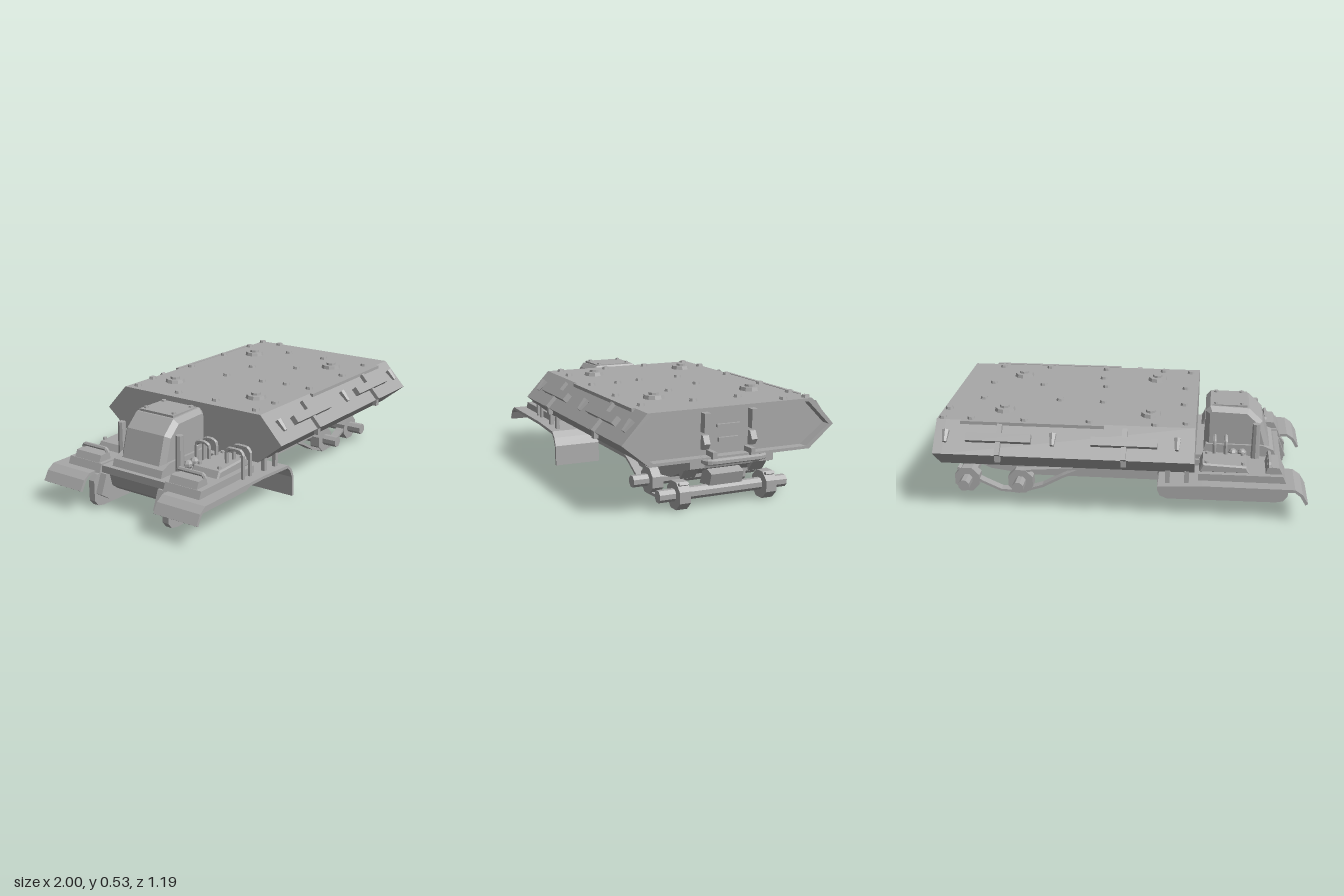
import * as THREE from 'three';

const steel = new THREE.MeshStandardMaterial({ color: 0xa8a8a8, flatShading: true });
steel.name = 'steel grey';

export function createModel() {
  const root = new THREE.Group();
  root.name = 'armouredCarrier';

  const add = (name, geo, x = 0, y = 0, z = 0, parent = root) => {
    const m = new THREE.Mesh(geo, steel);
    m.name = name;
    m.position.set(x, y, z);
    parent.add(m);
    return m;
  };
  // Box given by its extents
  const box = (name, x0, x1, y0, y1, z0, z1) =>
    add(name, new THREE.BoxGeometry(x1 - x0, y1 - y0, z1 - z0), (x0 + x1) / 2, (y0 + y1) / 2, (z0 + z1) / 2);
  const shapeOf = (pts) => new THREE.Shape(pts.map((p) => new THREE.Vector2(...p)));
  const extrude = (shape, depth, bevel = 0) => new THREE.ExtrudeGeometry(shape, {
    depth: depth - 2 * bevel, bevelEnabled: bevel > 0, bevelSize: bevel, bevelOffset: -bevel,
    bevelThickness: bevel, bevelSegments: 1, curveSegments: 5,
  }).translate(0, 0, bevel);
  // Prism along z from an (x, y) profile
  const prismZ = (name, pts, z0, z1, bevel = 0) => add(name, extrude(shapeOf(pts), z1 - z0, bevel), 0, 0, z0);
  // Prism along x from a symmetric (z, y) profile
  const prismX = (name, shape, x0, x1) => add(name, extrude(shape, x1 - x0).rotateY(Math.PI / 2), x0);
  const rodZ = (name, r, x, y, z0, z1, n = 8) =>
    add(name, new THREE.CylinderGeometry(r, r, z1 - z0, n).rotateY(Math.PI / n).rotateX(Math.PI / 2), x, y, (z0 + z1) / 2);
  const pipe = (name, pts, r) => {
    const path = new THREE.CurvePath();
    const v = pts.map((p) => new THREE.Vector3(...p));
    for (let i = 1; i < v.length; i++) path.add(new THREE.LineCurve3(v[i - 1], v[i]));
    return add(name, new THREE.TubeGeometry(path, 24, r, 6, false));
  };
  // Sheet-metal strip: a polyline thickened along its averaged normals
  const strip = (name, pts, t, z0, z1) => {
    const off = pts.map((p, i) => {
      const a = pts[Math.max(0, i - 1)], b = pts[Math.min(pts.length - 1, i + 1)];
      const l = Math.hypot(b[0] - a[0], b[1] - a[1]);
      return [p[0] + ((b[1] - a[1]) / l) * t, p[1] - ((b[0] - a[0]) / l) * t];
    });
    return prismZ(name, [...pts, ...off.reverse()], z0, z1);
  };

  // Large hexagonal cargo body with a recessed rear panel
  const hex = [[-0.45, 0.51], [-0.58, 0.37], [-0.44, 0.255], [0.44, 0.255], [0.58, 0.37], [0.45, 0.51]];
  prismX('cargoBody', shapeOf(hex), -0.41, 0.89);
  const rim = shapeOf(hex);
  rim.holes.push(new THREE.Path(hex.map(([z, y]) =>
    new THREE.Vector2(z * 0.955, 0.375 + (y - 0.375) * 0.88)).reverse()));
  prismX('rearRim', rim, 0.89, 0.94);

  // Roof bolts and hatches
  const bolts = [[-0.36, -0.4], [-0.2, -0.43], [0.14, -0.42], [0.48, -0.43], [0.76, -0.43], [0.91, -0.43],
    [0.91, -0.3], [-0.34, -0.13], [0.1, -0.13], [0.34, -0.12], [0.76, -0.13], [-0.34, 0.12], [0.11, 0.11],
    [0.47, 0.11], [0.76, 0.12], [0.14, 0.25], [0.14, 0.4], [-0.36, 0.39], [-0.2, 0.4], [0.48, 0.41], [0.76, 0.4]];
  for (const [x, z] of bolts) add('roofBolt', new THREE.CylinderGeometry(0.018, 0.022, 0.016, 7), x, 0.516, z);
  for (const x of [-0.17, 0.61]) for (const z of [-0.29, 0.26]) {
    add('roofHatch', new THREE.CylinderGeometry(0.05, 0.056, 0.02, 10), x, 0.519, z);
    add('hatchCap', new THREE.CylinderGeometry(0.026, 0.028, 0.015, 8), x, 0.533, z);
  }

  // Side rails and clips lying on the sloped upper flanks
  for (const s of [-1, 1]) {
    const flank = new THREE.Group();
    flank.name = 'flankFittings';
    flank.position.set(0, 0.44, s * 0.515);
    flank.rotation.x = s * 0.822;
    root.add(flank);
    for (const x of [-0.05, 0.6]) {
      add('sideRail', new THREE.BoxGeometry(0.34, 0.03, 0.045), x, 0.018, s * 0.005, flank);
      add('railBracket', new THREE.BoxGeometry(0.026, 0.022, 0.17), x, 0.01, s * 0.012, flank);
    }
    for (const x of [-0.32, 0.32, 0.88]) {
      add('sideClip', new THREE.CylinderGeometry(0.012, 0.02, 0.065, 6).rotateX(s * Math.PI / 2), x, 0.01, 0, flank);
    }
    box('roofEdgeStrip', 0.06, 0.81, 0.495, 0.512, s * 0.462 - 0.01, s * 0.462 + 0.01);
    for (const x of [-0.05, 0.6]) box('lowerClip', x - 0.014, x + 0.014, 0.335, 0.375, s * 0.57 - 0.012, s * 0.57 + 0.012);
  }

  // Lower hull with sloping tail
  prismZ('hull', [[-0.86, 0.21], [-0.84, 0.13], [-0.8, 0.1], [0.5, 0.1], [0.72, 0.13], [0.88, 0.2], [0.9, 0.26], [-0.45, 0.26], [-0.45, 0.21]], -0.22, 0.22);
  prismZ('tailBlock', [[0.78, 0.1], [0.88, 0.11], [0.9, 0.17], [0.82, 0.2]], -0.09, 0.09);
  for (const s of [-1, 1]) {
    const z = s * 0.19;
    prismZ('tailBracket', [[0.8, 0.24], [0.84, 0.15], [0.88, 0.2], [0.94, 0.22], [0.94, 0.26]], z - 0.04, z + 0.04);
  }

  // Rear panel fittings
  for (const s of [-1, 1]) {
    const z = s * 0.13;
    box('rearHinge', 0.885, 0.93, 0.385, 0.48, z - 0.017, z + 0.017);
    prismZ('rearLatch', [[0.885, 0.37], [0.91, 0.37], [0.93, 0.33], [0.91, 0.3], [0.885, 0.3]], z - 0.016, z + 0.016);
    box('rearStepMount', 0.88, 0.96, 0.235, 0.295, s * 0.105 - 0.012, s * 0.105 + 0.012);
  }
  box('rearUpperBar', 0.885, 0.905, 0.402, 0.416, -0.065, 0.065);
  box('rearLowerBar', 0.885, 0.905, 0.33, 0.35, -0.055, 0.055);
  pipe('rearStep', [[0.9, 0.255, -0.16], [0.97, 0.255, -0.165], [0.985, 0.255, -0.13], [0.985, 0.255, 0.13], [0.97, 0.255, 0.16], [0.9, 0.255, 0.155]], 0.015);
  box('rearStepPlate', 0.9, 0.955, 0.235, 0.26, -0.15, 0.15);

  // Rear axles with octagonal wheels
  for (const x of [0.55, 0.85]) {
    rodZ('rearAxle', 0.032, x, 0.08, -0.355, 0.355);
    for (const s of [-1, 1]) rodZ('rearWheel', 0.074, x, 0.078, s * 0.24 - 0.03, s * 0.24 + 0.03);
  }

  for (const s of [-1, 1]) {
    // Span between z = a and z = b on the current side
    const span = (a, b) => (s > 0 ? [a, b] : [-b, -a]);

    // Track bands under the hull
    strip('trackBand', [[-0.24, 0.2], [0, 0.195], [0.2, 0.175], [0.32, 0.12], [0.43, 0.06], [0.55, 0.02], [0.66, 0.025], [0.76, 0.07], [0.9, 0.15]], 0.014, ...span(0.215, 0.265));
    strip('upperBand', [[-0.2, 0.2], [0.25, 0.17], [0.42, 0.155], [0.55, 0.145]], 0.012, ...span(0.215, 0.265));

    // Rounded side plates by the front axles
    prismZ('sidePlate', [[-0.915, 0.05], [-0.89, 0.02], [-0.85, 0.012], [-0.26, 0.008], [-0.22, 0.025], [-0.205, 0.06], [-0.205, 0.15], [-0.23, 0.19], [-0.89, 0.19], [-0.915, 0.16]], ...span(0.225, 0.262));

    // Fender; only one side carries a rear mud flap
    const fender = [[-1, 0.13], [-0.97, 0.18], [-0.93, 0.207], [-0.45, 0.207], [-0.22, 0.195]];
    if (s > 0) fender.push([-0.185, 0.165], [-0.165, 0.12], [-0.16, 0.01]);
    strip('fender', fender, 0.016, ...span(0.24, 0.5));
    for (const x of [-0.37, -0.27]) box('fenderStrut', x - 0.012, x + 0.012, 0.19, 0.27, s * 0.45 - 0.01, s * 0.45 + 0.01);

    // Deck pod: base, front case, rear case, guards
    prismZ('podBase', [[-0.89, 0.2], [-0.87, 0.245], [-0.43, 0.245], [-0.43, 0.2]], ...span(0.21, 0.43));
    prismZ('podFrontCase', [[-0.87, 0.24], [-0.85, 0.28], [-0.79, 0.285], [-0.78, 0.24]], ...span(0.23, 0.4));
    pipe('podHandle', [[-0.8, 0.28, s * 0.23], [-0.8, 0.3, s * 0.24], [-0.8, 0.3, s * 0.39], [-0.8, 0.28, s * 0.4]], 0.011);
    prismZ('podRearCase', [[-0.7, 0.24], [-0.68, 0.28], [-0.45, 0.29], [-0.43, 0.24]], ...span(0.23, 0.4), 0.008);
    for (const [x, z] of [[-0.66, 0.26], [-0.66, 0.38], [-0.47, 0.26], [-0.47, 0.38]]) {
      add('podBolt', new THREE.CylinderGeometry(0.01, 0.012, 0.014, 6), x, 0.292, s * z);
    }
    for (const x of [-0.57, -0.51]) for (const [a, b] of [[0.17, 0.25], s > 0 ? [0.36, 0.46] : [0.17, 0.25]]) {
      if (s < 0 && a === 0.36) continue;
      pipe('guardLoop', [[x, 0.22, s * a], [x, 0.35, s * a], [x, 0.365, s * (a + 0.02)], [x, 0.365, s * (b - 0.02)], [x, 0.35, s * b], [x, 0.22, s * b]], 0.011);
    }
    add('deckPost', new THREE.CylinderGeometry(0.02, 0.024, 0.2, 8), -0.73, 0.34, s * 0.19);
    for (const x of [-0.66, -0.61]) add('deckKnob', new THREE.SphereGeometry(0.025, 7, 5), x, 0.265, s * 0.185);
    // Front towing lug
    prismZ('towLug', [[-0.92, 0.1], [-0.86, 0.06], [-0.8, 0.1], [-0.82, 0.2], [-0.88, 0.2]], ...span(0.17, 0.21));
  }

  // Front axles
  for (const x of [-0.68, -0.5]) rodZ('frontAxle', 0.03, x, 0.09, -0.265, 0.265, 10);

  // Front deck and bevelled cab
  box('frontDeck', -0.87, -0.41, 0.2, 0.238, -0.24, 0.24);
  prismZ('cabBase', [[-0.85, 0.22], [-0.83, 0.275], [-0.77, 0.3], [-0.46, 0.3], [-0.44, 0.22]], -0.16, 0.16);
  prismZ('cab', [[-0.81, 0.28], [-0.765, 0.43], [-0.69, 0.5], [-0.48, 0.508], [-0.455, 0.48], [-0.455, 0.24], [-0.79, 0.24]], -0.145, 0.145, 0.025);
  box('cabRoofPlate', -0.68, -0.49, 0.5, 0.512, -0.11, 0.11);
  for (const x of [-0.65, -0.51]) for (const z of [-0.09, 0.09]) {
    add('cabBolt', new THREE.CylinderGeometry(0.012, 0.014, 0.012, 6), x, 0.515, z);
  }
  return root;
}
